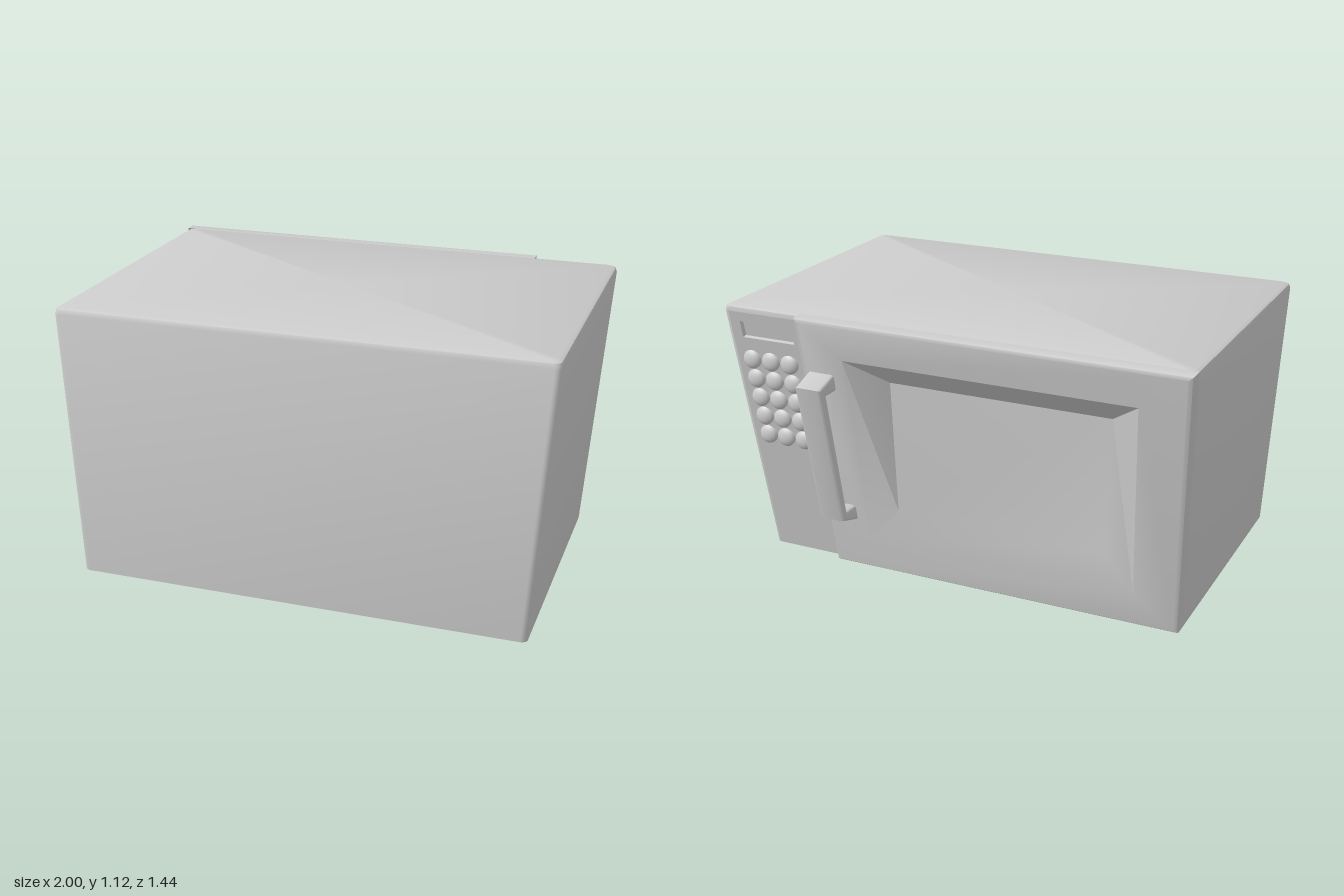
import * as THREE from 'three';
import { toCreasedNormals } from 'three/addons/utils/BufferGeometryUtils.js';

const H = 1.12;
const material = new THREE.MeshStandardMaterial({ color: 0xcccccc, side: THREE.DoubleSide });

// The whole oven narrows towards its base, and its working face leans outwards
const taper = (y) => 0.93 + (0.07 * y) / H;
const faceZ = (y) => -0.475 - 0.156 * y;
const onFace = (x, y, depth) => [x * taper(y), y, faceZ(y) + depth];

function part(name, geometry, crease = 0.5) {
  const mesh = new THREE.Mesh(toCreasedNormals(geometry, crease), material);
  mesh.name = name;
  return mesh;
}

// Skins rings of points and closes the last ring to its centre;
// rings below openRows are left open between last and first point
function loft(rings, openRows = 0) {
  const n = rings[0].length;
  const last = rings[rings.length - 1];
  const centre = [0, 1, 2].map((k) => last.reduce((s, p) => s + p[k], 0) / n);
  const all = [...rings, last.map(() => centre)];
  const index = [];
  for (let i = 0; i < all.length - 1; i++) {
    for (let j = 0; j < (i < openRows ? n - 1 : n); j++) {
      const a = i * n + j, b = i * n + ((j + 1) % n), c = a + n, d = b + n;
      index.push(a, c, b);
      if (i < all.length - 2) index.push(b, c, d);
    }
  }
  const geometry = new THREE.BufferGeometry();
  geometry.setAttribute('position', new THREE.Float32BufferAttribute(all.flat(2), 3));
  geometry.setIndex(index);
  return geometry;
}

// Horizontal rounded section of the casing
function casingRing(y, inset) {
  const w = taper(y) - inset, front = faceZ(y) + 0.045 + inset, back = 0.72 - (0.03 * y) / H - inset;
  const r = 0.025, ring = [];
  const corners = [[w - r, front + r, -90], [w - r, back - r, 0], [r - w, back - r, 90], [r - w, front + r, 180]];
  for (const [x, z, start] of corners) {
    for (let k = 0; k <= 4; k++) {
      const t = THREE.MathUtils.degToRad(start + k * 22.5);
      ring.push([x + r * Math.cos(t), y, z + r * Math.sin(t)]);
    }
  }
  return ring;
}

// Rectangle on the leaning face; depth may differ at bottom and top
const faceRing = (x0, x1, y0, y1, d0, d1 = d0) =>
  [onFace(x0, y0, d0), onFace(x1, y0, d0), onFace(x1, y1, d1), onFace(x0, y1, d1)];

export function createModel() {
  const model = new THREE.Group();

  // Casing shell, open underneath
  model.add(part('casing', loft([
    casingRing(0, 0), casingRing(1.095, 0), casingRing(1.113, 0.006), casingRing(H, 0.02),
  ], 1)));

  // Door with a bevelled window whose pane stands nearly upright
  model.add(part('door', loft([
    faceRing(-1, 0.64, 0, H, 0.065),
    faceRing(-1, 0.64, 0, H, 0.018),
    faceRing(-0.995, 0.635, 0.003, H - 0.005, 0.006),
    faceRing(-0.98, 0.62, 0.008, H - 0.018, 0),
    faceRing(-0.8, 0.44, 0.15, 0.965, 0),
    faceRing(-0.66, 0.3, 0.29, 0.855, 0.04, 0.11),
  ])));

  // Control panel with a sunken display
  model.add(part('controlPanel', loft([
    faceRing(0.59, 0.976, 0, 1.095, 0.045),
    faceRing(0.685, 0.93, 0.985, 1.055, 0.045),
    faceRing(0.69, 0.925, 0.99, 1.05, 0.06),
  ])));

  // Keypad of domed buttons
  const keypad = new THREE.Group();
  keypad.name = 'keypad';
  const dome = new THREE.SphereGeometry(1, 16, 10);
  for (let row = 0; row < 5; row++) {
    for (let col = 0; col < 3; col++) {
      const button = new THREE.Mesh(dome, material);
      button.name = 'button';
      button.position.set(...onFace(0.725 + col * 0.09, 0.55 + row * 0.086, 0.045));
      button.scale.set(0.042, 0.042, 0.022);
      button.rotation.x = Math.atan(0.156);
      keypad.add(button);
    }
  }
  model.add(keypad);

  // Bracket-shaped door handle, drawn in profile (z, y) and extruded across x
  const profile = new THREE.Shape([
    [-0.585, 0.905], [-0.72, 0.862], [-0.615, 0.262], [-0.49, 0.222],
    [-0.49, 0.297], [-0.585, 0.297], [-0.672, 0.825], [-0.58, 0.825],
  ].map(([z, y]) => new THREE.Vector2(z, y)));
  const bevel = 0.014;
  const handle = new THREE.ExtrudeGeometry(profile, {
    depth: 0.12 - 2 * bevel, bevelThickness: bevel, bevelSize: bevel, bevelOffset: -bevel, bevelSegments: 3,
  });
  handle.rotateY(-Math.PI / 2).translate(0.61 - bevel, 0, 0);
  const pos = handle.attributes.position;
  for (let i = 0; i < pos.count; i++) pos.setX(i, pos.getX(i) * taper(pos.getY(i)));
  model.add(part('doorHandle', handle, 0.6));

  return model;
}
